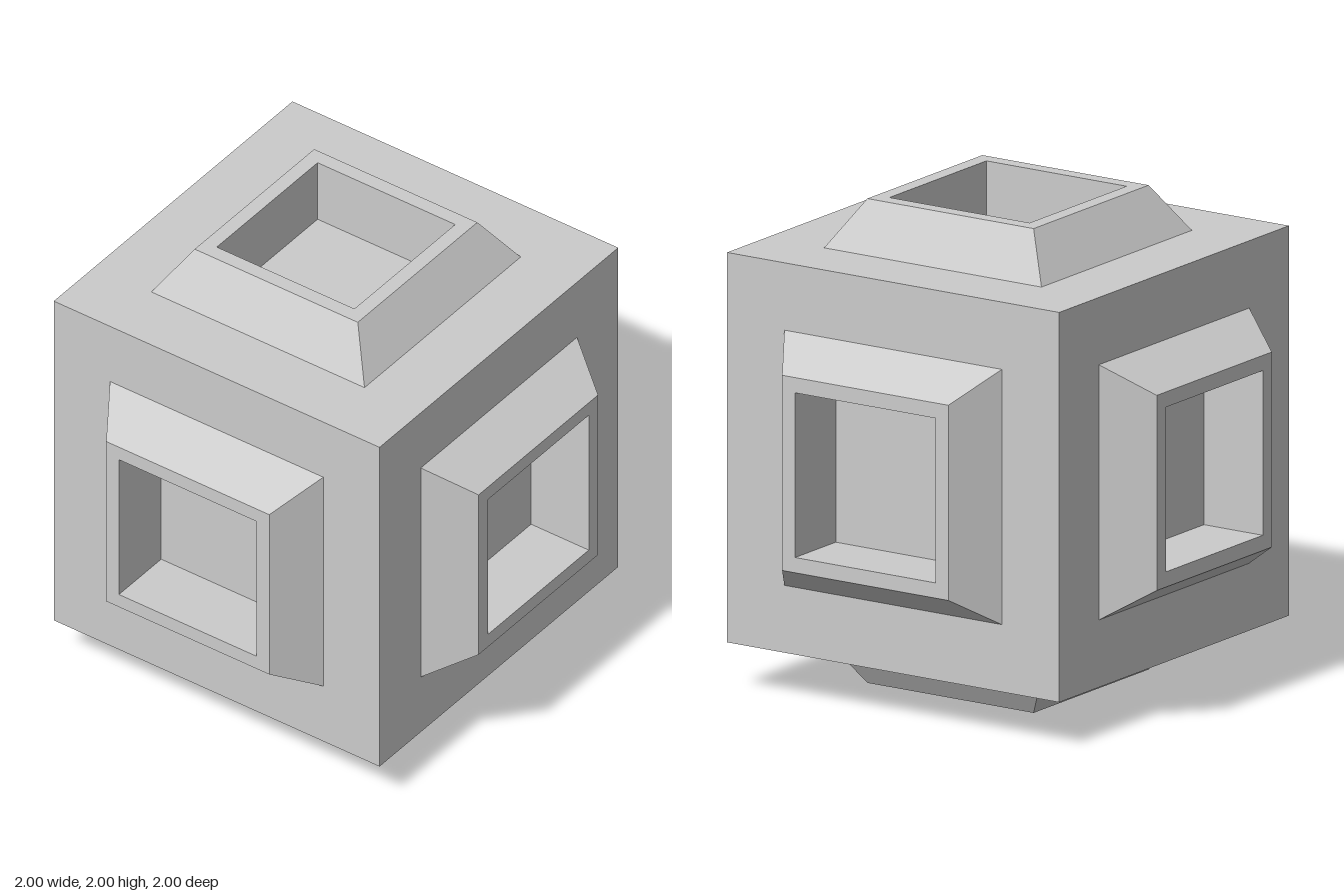
import * as THREE from 'three';

const HALF = 0.805;   // half size of the cube body
const BASE = 0.527;   // half width of a collar where it meets the body
const RIM = 0.403;    // half width of a collar at its outer end
const HOLE = 0.34;    // half width of the square pocket
const FLOOR = 0.715;  // distance of the pocket floor from the centre

const material = new THREE.MeshStandardMaterial({ color: 0xcccccc, flatShading: true });

// Square ring surface: a four-sided lathe through [half width, height] points
function squareLoft(name, points) {
  const profile = points.map(([w, y]) => new THREE.Vector2(w * Math.SQRT2, y));
  const geometry = new THREE.LatheGeometry(profile, 4, Math.PI / 4).toNonIndexed();
  geometry.computeVertexNormals();
  const mesh = new THREE.Mesh(geometry, material);
  mesh.name = name;
  return mesh;
}

// One cube side facing +y: flat wall, tapered collar and sunken square pocket
function createSide() {
  const side = new THREE.Group();
  side.add(
    squareLoft('wall', [[HALF, HALF], [BASE, HALF]]),
    squareLoft('collar', [[BASE, HALF], [RIM, 1], [HOLE, 1]]),
    squareLoft('pocket', [[HOLE, 1], [HOLE, FLOOR], [0, FLOOR]])
  );
  return side;
}

export function createModel() {
  const model = new THREE.Group();
  model.name = 'cubeWithSixSockets';

  // The same side turned towards all six directions
  const sides = {
    topSide: [0, 0, 0],
    bottomSide: [Math.PI, 0, 0],
    frontSide: [Math.PI / 2, 0, 0],
    backSide: [-Math.PI / 2, 0, 0],
    leftSide: [0, 0, -Math.PI / 2],
    rightSide: [0, 0, Math.PI / 2],
  };
  for (const [name, rotation] of Object.entries(sides)) {
    const side = createSide();
    side.name = name;
    side.rotation.set(...rotation);
    side.position.y = 1;
    model.add(side);
  }
  return model;
}
